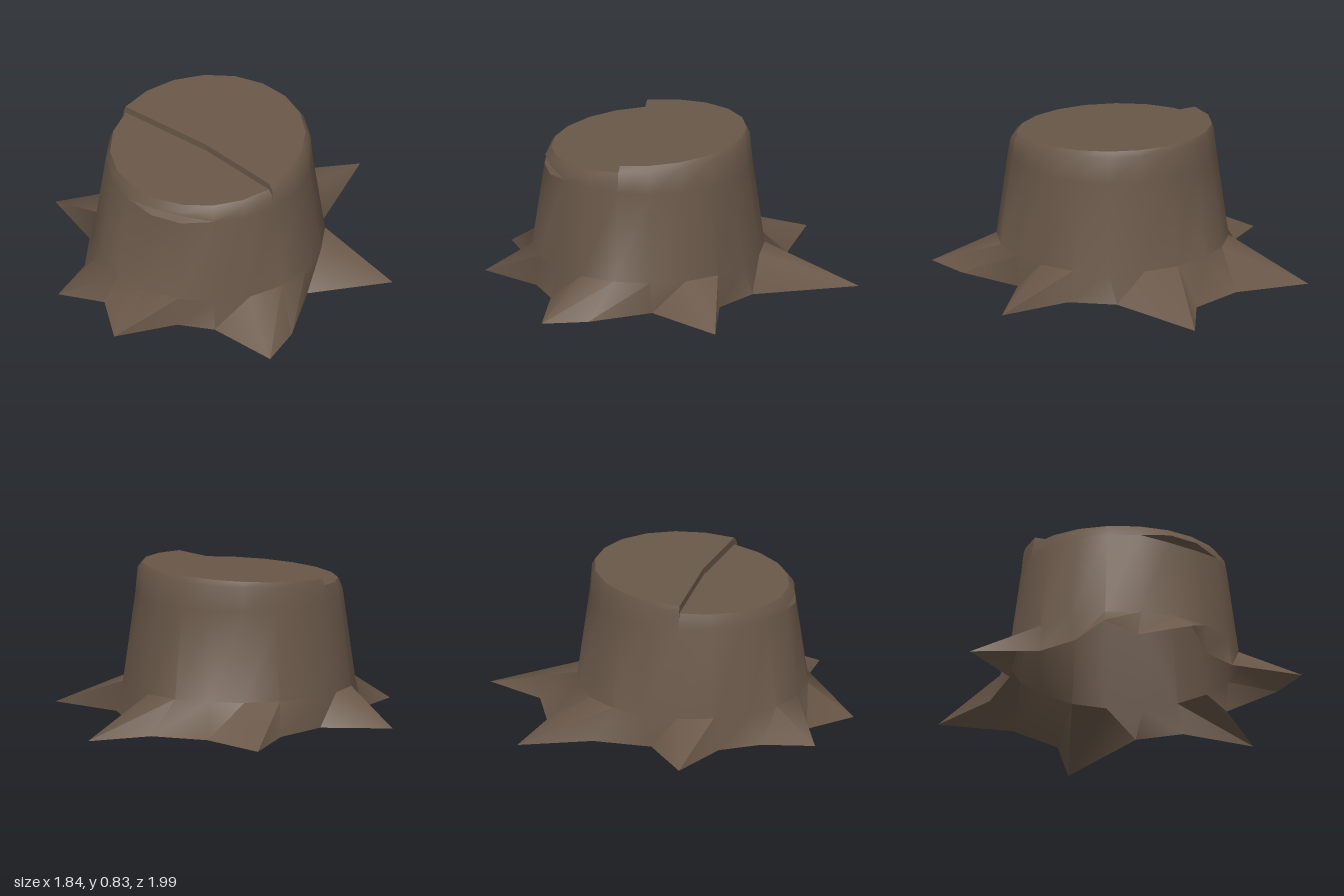
import * as THREE from 'three';
import { toCreasedNormals } from 'three/addons/utils/BufferGeometryUtils.js';

const CZ = 0.145; // trunk axis
const SIDES = 20;

// Ground outline of the roots (x, z), one point per trunk side, clockwise from the back
const ROOTS = [
  [-0.13, -1.0], [0.16, -0.49], [0.4, -0.38], [0.8, -0.48], [0.59, -0.06],
  [0.82, 0.23], [0.92, 0.46], [0.53, 0.53], [0.37, 0.66], [0.24, 0.99],
  [-0.03, 0.84], [-0.24, 0.99], [-0.35, 0.72], [-0.52, 0.55], [-0.89, 0.49],
  [-0.63, 0.2], [-0.69, -0.12], [-0.92, -0.46], [-0.51, -0.48], [-0.24, -0.65],
];

const material = new THREE.MeshStandardMaterial({ color: 0x6a5849, side: THREE.DoubleSide });

// Sawn top: the back half sits a step higher than the front half
const topY = (z, high) => (high ? 0.805 - 0.065 * z : 0.767 - 0.07 * z);

function ringPoint(i, r, y) {
  const a = (i / SIDES) * Math.PI * 2;
  return new THREE.Vector3(r * Math.sin(a), y, CZ - r * Math.cos(a));
}

function rimPoint(i, high) {
  const inset = 0.012 + 0.01 * (1 + Math.sin((i / SIDES) * Math.PI * 2));
  const p = ringPoint(i, 0.548 - inset, 0);
  p.y = topY(p.z, high);
  return p;
}

// Triangle soup that leaves out collapsed faces
function meshFrom(name, triangles, crease) {
  const pos = [];
  for (const [a, b, c] of triangles) {
    const area = b.clone().sub(a).cross(c.clone().sub(a)).length();
    if (area > 1e-6) for (const p of [a, b, c]) pos.push(p.x, p.y, p.z);
  }
  let geo = new THREE.BufferGeometry();
  geo.setAttribute('position', new THREE.Float32BufferAttribute(pos, 3));
  geo.computeVertexNormals();
  if (crease) geo = toCreasedNormals(geo, crease);
  const mesh = new THREE.Mesh(geo, material);
  mesh.name = name;
  return mesh;
}

// One vertical line of the bark, from root outline to sawn rim
function barkColumn({ i, high }) {
  const [x, z] = ROOTS[i];
  const notch = i === 8 || i === 9; // slit cut into the front of the bark
  const rim = rimPoint(i, high);
  return [
    new THREE.Vector3(x, 0, z),
    ringPoint(i, 0.625, 0.17),
    ringPoint(i, 0.559, notch ? 0.63 : 0.655),
    ringPoint(i, notch ? 0.515 : 0.559, 0.655),
    ringPoint(i, notch ? 0.555 : 0.559, notch ? 0.678 : 0.655),
    ringPoint(i, 0.546, rim.y - 0.03),
    rim,
  ];
}

export function createModel() {
  const group = new THREE.Group();
  group.name = 'treeStump';

  // Sides 5 and 14 carry the step, so they appear at both heights
  const sides = [];
  for (let i = 0; i < SIDES; i++) {
    if (i === 5) sides.push({ i, high: true }, { i, high: false });
    else if (i === 14) sides.push({ i, high: false }, { i, high: true });
    else sides.push({ i, high: i < 5 || i > 14 });
  }

  // Bark and roots
  const columns = sides.map(barkColumn);
  const bark = [];
  columns.forEach((a, k) => {
    const b = columns[(k + 1) % columns.length];
    for (let j = 0; j < a.length - 1; j++) {
      bark.push([a[j], a[j + 1], b[j]], [b[j], a[j + 1], b[j + 1]]);
    }
  });
  group.add(meshFrom('barkAndRoots', bark, 0.9));

  // Two halves of the sawn top, fanned from the middle of the step
  const middle = (high) => new THREE.Vector3(0.04, topY(0.19, high), 0.19);
  const half = (name, from, to, high) => {
    const tris = [];
    for (let i = from; i < to; i++) {
      tris.push([middle(high), rimPoint((i + 1) % SIDES, high), rimPoint(i % SIDES, high)]);
    }
    group.add(meshFrom(name, tris));
  };
  half('sawnTopFront', 5, 14, false);
  half('sawnTopBack', 14, 25, true);

  // Splintered step between the halves
  const line = (high) => [rimPoint(14, high), middle(high), rimPoint(5, high)];
  const low = line(false), up = line(true);
  const step = [];
  for (let k = 0; k < 2; k++) {
    step.push([low[k], low[k + 1], up[k]], [low[k + 1], up[k + 1], up[k]]);
  }
  group.add(meshFrom('sawnStep', step));

  return group;
}
